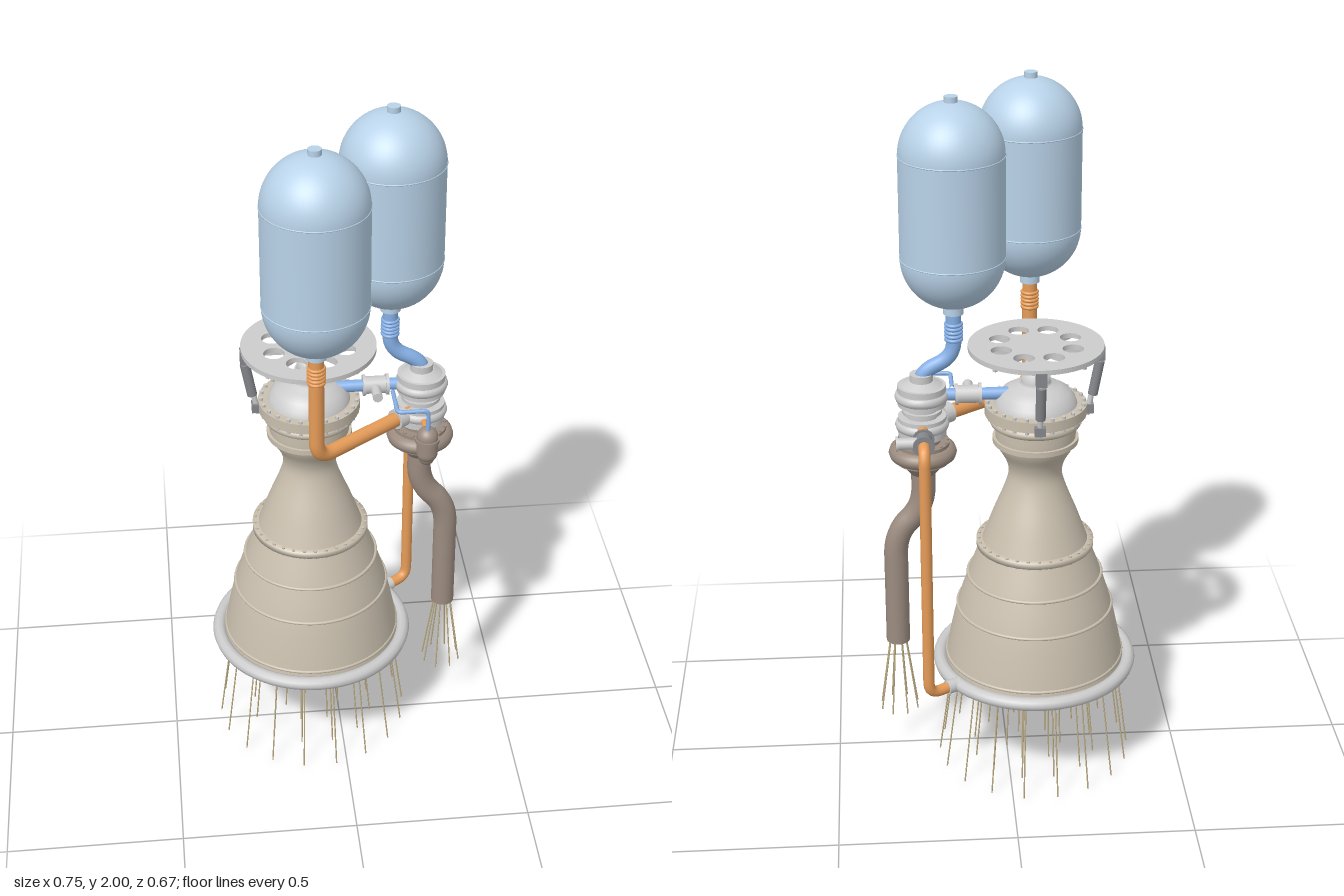
import * as THREE from 'three';

const mat = (color) => new THREE.MeshStandardMaterial({ color });
const V = (x, y, z) => new THREE.Vector3(x, y, z);

export function createModel() {
  const root = new THREE.Group();
  const grey = mat(0xcccccc), dark = mat(0x85878c), tan = mat(0xc9bfae), brown = mat(0x9c8c80);
  const blue = mat(0x86b0e6), orange = mat(0xe69c58), tankBlue = mat(0xb8d2e8), plume = mat(0xbfae84);
  const inner = tan.clone();
  inner.side = THREE.DoubleSide;

  const add = (parent, name, geo, m, x = 0, y = 0, z = 0) => {
    const mesh = new THREE.Mesh(geo, m);
    mesh.name = name;
    mesh.position.set(x, y, z);
    parent.add(mesh);
    return mesh;
  };
  const group = (name, x = 0, z = 0) => {
    const g = new THREE.Group();
    g.name = name;
    g.position.set(x, 0, z);
    root.add(g);
    return g;
  };
  // vertical disc or cone frustum between two heights
  const drum = (parent, name, r, y0, y1, m, rTop = r, x = 0, z = 0) =>
    add(parent, name, new THREE.CylinderGeometry(rTop, r, y1 - y0, 40), m, x, (y0 + y1) / 2, z);
  const ring = (parent, name, r, tube, y, m) =>
    add(parent, name, new THREE.TorusGeometry(r, tube, 10, 64).rotateX(Math.PI / 2), m, 0, y, 0);
  // straight rod between two points
  const rod = (parent, name, a, b, r, m, sides = 16) => {
    const mesh = add(parent, name, new THREE.CylinderGeometry(r, r, a.distanceTo(b), sides), m);
    mesh.position.copy(a).lerp(b, 0.5);
    mesh.quaternion.setFromUnitVectors(V(0, 1, 0), b.clone().sub(a).normalize());
    return mesh;
  };
  // pipe through corner points with rounded elbows
  const pipe = (parent, name, pts, r, m, bend = 0.04) => {
    const path = new THREE.CurvePath();
    let last = pts[0];
    for (let i = 1; i < pts.length - 1; i++) {
      const p = pts[i];
      const toward = (q) => p.clone().add(q.clone().sub(p).setLength(Math.min(bend, p.distanceTo(q) * 0.48)));
      const a = toward(pts[i - 1]), b = toward(pts[i + 1]);
      path.add(new THREE.LineCurve3(last, a));
      path.add(new THREE.QuadraticBezierCurve3(a, p, b));
      last = b;
    }
    path.add(new THREE.LineCurve3(last, pts[pts.length - 1]));
    return add(parent, name, new THREE.TubeGeometry(path, 90, r, 16), m);
  };
  const bolts = (parent, name, n, r, y, size, h, m) => {
    for (let i = 0; i < n; i++) {
      const a = (i / n) * Math.PI * 2;
      add(parent, name, new THREE.CylinderGeometry(size, size, h, 6), m, r * Math.cos(a), y, r * Math.sin(a));
    }
  };
  const lathe = (pts) => new THREE.LatheGeometry(pts.map(([r, y]) => new THREE.Vector2(r, y)), 64);

  // ---- Thrust chamber and nozzle ----
  const engine = group('engine', -0.08, -0.04);
  const wall = new THREE.SplineCurve([[0.262, 0.31], [0.245, 0.4], [0.222, 0.5], [0.19, 0.6], [0.153, 0.7],
    [0.12, 0.79], [0.088, 0.87], [0.075, 0.92], [0.083, 0.96], [0.105, 1.0], [0.112, 1.03], [0.112, 1.1]]
    .map(([r, y]) => new THREE.Vector2(r, y))).getPoints(44).map((p) => [p.x, p.y]);
  add(engine, 'nozzleOuterWall', lathe(wall), tan);
  add(engine, 'nozzleInnerWall', lathe(wall.map(([r, y]) => [r - 0.008, y])), inner);
  ring(engine, 'exitManifold', 0.275, 0.02, 0.32, grey);
  [[0.254, 0.345], [0.222, 0.5], [0.191, 0.6]].forEach(([r, y]) => ring(engine, 'nozzleBand', r, 0.005, y, tan));
  add(engine, 'nozzleFlange', lathe([[0.15, 0.692], [0.167, 0.692], [0.167, 0.71], [0.148, 0.71]]), tan);
  bolts(engine, 'nozzleBolt', 32, 0.16, 0.701, 0.005, 0.026, tan);
  drum(engine, 'chamberFlange', 0.12, 1.015, 1.03, tan);
  drum(engine, 'injectorFlange', 0.142, 1.1, 1.13, tan);
  bolts(engine, 'injectorBolt', 24, 0.134, 1.115, 0.006, 0.046, grey);
  ring(engine, 'injectorManifold', 0.115, 0.014, 1.08, tan);

  // injector dome and gimbal post
  add(engine, 'injectorDome', lathe([[0.115, 1.13], [0.11, 1.145], [0.095, 1.165], [0.07, 1.18], [0.045, 1.188],
    [0.04, 1.195], [0.04, 1.225], [0, 1.225]]), grey);
  drum(engine, 'gimbalPost', 0.025, 1.22, 1.29, grey);
  add(engine, 'gimbalBall', new THREE.SphereGeometry(0.034, 24, 16), grey, 0, 1.235, 0);

  // ---- Thrust plate with eight lightening holes and ribs ----
  const plate = new THREE.Shape().absarc(0, 0, 0.187, 0, Math.PI * 2);
  for (let i = 0; i < 8; i++) {
    const a = (i + 0.5) * Math.PI / 4;
    plate.holes.push(new THREE.Path().absarc(0.106 * Math.cos(a), 0.106 * Math.sin(a), 0.029, 0, Math.PI * 2, true));
    const rib = add(engine, 'thrustPlateRib', new THREE.BoxGeometry(0.15, 0.014, 0.01).translate(0.1, 0, 0), grey, 0, 1.284, 0);
    rib.rotation.y = i * Math.PI / 4;
  }
  add(engine, 'thrustPlate', new THREE.ExtrudeGeometry(plate, { depth: 0.014, bevelEnabled: false, curveSegments: 48 })
    .rotateX(-Math.PI / 2), grey, 0, 1.29, 0);
  drum(engine, 'thrustPlateHub', 0.045, 1.27, 1.292, grey);

  // ---- Two gimbal actuators, to the right and to the back ----
  [Math.PI, Math.PI / 2].forEach((turn) => {
    const act = new THREE.Group();
    act.name = 'gimbalActuator';
    act.rotation.y = turn;
    engine.add(act);
    rod(act, 'actuatorBody', V(0.176, 1.25, 0), V(0.158, 1.15, 0), 0.014, dark);
    rod(act, 'actuatorRod', V(0.18, 1.285, 0), V(0.143, 1.09, 0), 0.008, grey);
    add(act, 'upperBracket', new THREE.BoxGeometry(0.03, 0.04, 0.03), dark, 0.174, 1.275, 0);
    add(act, 'lowerBracket', new THREE.BoxGeometry(0.045, 0.025, 0.03), dark, 0.138, 1.11, 0);
  });

  // ---- Propellant tanks with outlet bellows ----
  [['fuelTank', -0.08, 0.19, orange], ['oxidizerTank', 0.145, -0.04, blue]].forEach(([name, x, z, m]) => {
    const tank = group(name, x, z);
    add(tank, 'tankShell', new THREE.CapsuleGeometry(0.142, 0.281, 20, 48), tankBlue, 0, 1.703, 0);
    [1.5625, 1.8435].forEach((y) => ring(tank, 'tankSeam', 0.1415, 0.002, y, tankBlue));
    drum(tank, 'tankVent', 0.018, 1.975, 2.0, tankBlue);
    drum(tank, 'tankOutlet', 0.028, 1.4, 1.435, tankBlue);
    for (let i = 0; i < 5; i++) ring(tank, 'bellowsRing', 0.021, 0.005, 1.325 + i * 0.011, m);
  });
  pipe(root, 'fuelFeedPipe', [V(-0.08, 1.42, 0.19), V(-0.08, 1.08, 0.19), V(0.2, 1.08, -0.01)], 0.021, orange, 0.055);
  rod(root, 'fuelFeedFlange', V(0.155, 1.08, 0.022), V(0.18, 1.08, 0.004), 0.029, grey);
  pipe(root, 'oxidizerFeedPipe', [V(0.145, 1.42, -0.04), V(0.145, 1.275, -0.04), V(0.235, 1.23, -0.04), V(0.235, 1.18, -0.04)],
    0.021, blue, 0.045);

  // ---- Turbopump stack ----
  const pump = group('turbopump', 0.235, -0.04);
  drum(pump, 'pumpInlet', 0.032, 1.2, 1.225, grey);
  drum(pump, 'pumpInletCone', 0.062, 1.19, 1.205, grey, 0.034);
  drum(pump, 'oxidizerPump', 0.067, 1.135, 1.192, grey);
  ring(pump, 'oxidizerVolute', 0.058, 0.017, 1.16, grey);
  drum(pump, 'pumpShaftHousing', 0.045, 1.09, 1.14, grey);
  drum(pump, 'pumpMidFlange', 0.055, 1.11, 1.12, grey);
  drum(pump, 'fuelPump', 0.067, 1.042, 1.1, grey);
  ring(pump, 'fuelVolute', 0.058, 0.017, 1.075, grey);
  drum(pump, 'turbineNeck', 0.05, 1.0, 1.045, brown);
  drum(pump, 'turbineTopFlange', 0.075, 1.01, 1.022, brown);
  ring(pump, 'turbineManifold', 0.072, 0.023, 0.99, brown);
  drum(pump, 'turbineCasing', 0.075, 0.962, 1.01, brown);
  drum(pump, 'turbineExitCone', 0.036, 0.925, 0.965, brown, 0.068);
  bolts(pump, 'turbineBolt', 16, 0.07, 1.016, 0.004, 0.02, brown);

  // turbine exhaust duct, open at the foot
  const ductMat = brown.clone();
  ductMat.side = THREE.DoubleSide;
  pipe(root, 'exhaustDuct', [V(0.235, 0.95, -0.04), V(0.235, 0.82, -0.04), V(0.317, 0.735, -0.04), V(0.317, 0.385, -0.04)],
    0.034, ductMat, 0.07);

  // ---- Gas generator and its small feed lines ----
  add(root, 'gasGenerator', new THREE.CapsuleGeometry(0.03, 0.05, 10, 24), brown, 0.235, 1.045, 0.1);
  drum(root, 'gasGeneratorFlange', 0.034, 1.055, 1.065, brown, 0.034, 0.235, 0.1);
  pipe(root, 'hotGasPipe', [V(0.235, 1.03, 0.1), V(0.235, 0.992, 0.1), V(0.235, 0.992, 0.03)], 0.022, brown, 0.025);
  pipe(root, 'generatorOxidizerLine', [V(0.15, 1.16, 0), V(0.15, 1.16, 0.108), V(0.235, 1.16, 0.108), V(0.235, 1.08, 0.108)],
    0.006, blue, 0.015);
  rod(root, 'generatorFuelLine', V(0.235, 1.075, 0.02), V(0.235, 1.075, 0.09), 0.009, orange);

  // ---- Main oxidizer line from pump to injector ----
  rod(root, 'mainOxidizerPipe', V(-0.03, 1.16, -0.04), V(0.2, 1.16, -0.04), 0.017, blue);
  rod(root, 'mainOxidizerValve', V(0.075, 1.16, -0.04), V(0.135, 1.16, -0.04), 0.025, grey);
  [0.07, 0.135].forEach((x) => rod(root, 'oxidizerValveFlange', V(x, 1.16, -0.04), V(x + 0.008, 1.16, -0.04), 0.03, grey));
  rod(root, 'oxidizerValveActuator', V(0.105, 1.16, -0.04), V(0.105, 1.16, 0.03), 0.014, grey);

  // ---- Main fuel line down to the exit manifold ----
  pipe(root, 'mainFuelPipe', [V(0.235, 1.08, -0.08), V(0.235, 1.08, -0.243), V(0.235, 0.32, -0.243), V(0.15, 0.32, -0.19)],
    0.016, orange, 0.04);
  rod(root, 'mainFuelValve', V(0.235, 1.08, -0.2), V(0.235, 1.08, -0.155), 0.024, dark);
  [-0.203, -0.157].forEach((z) => rod(root, 'fuelValveFlange', V(0.235, 1.08, z - 0.003), V(0.235, 1.08, z + 0.003), 0.03, dark));
  rod(root, 'fuelValveActuator', V(0.24, 1.08, -0.18), V(0.305, 1.08, -0.18), 0.016, grey);
  rod(root, 'fuelValveActuatorCap', V(0.304, 1.08, -0.18), V(0.31, 1.08, -0.18), 0.02, grey);
  rod(root, 'manifoldInlet', V(0.145, 0.32, -0.188), V(0.183, 0.32, -0.211), 0.02, grey);

  // ---- Exhaust streaks, flaring downward ----
  const streaks = (name, x, z, n, rTop, yTop, rEnd, yEnd, phase) => {
    for (let i = 0; i < n; i++) {
      const a = ((i + phase) / n) * Math.PI * 2, c = Math.cos(a), s = Math.sin(a);
      rod(root, name, V(x + rTop * c, yTop, z + rTop * s), V(x + rEnd * c, yEnd, z + rEnd * s), 0.0022, plume, 5);
    }
  };
  streaks('nozzleStreak', -0.08, -0.04, 18, 0.235, 0.33, 0.28, 0.002, 0);
  streaks('nozzleStreak', -0.08, -0.04, 12, 0.15, 0.33, 0.18, 0.002, 0.5);
  streaks('nozzleStreak', -0.08, -0.04, 6, 0.07, 0.33, 0.08, 0.002, 0);
  streaks('ductStreak', 0.317, -0.04, 8, 0.022, 0.4, 0.057, 0.16, 0.5);

  return root;
}
